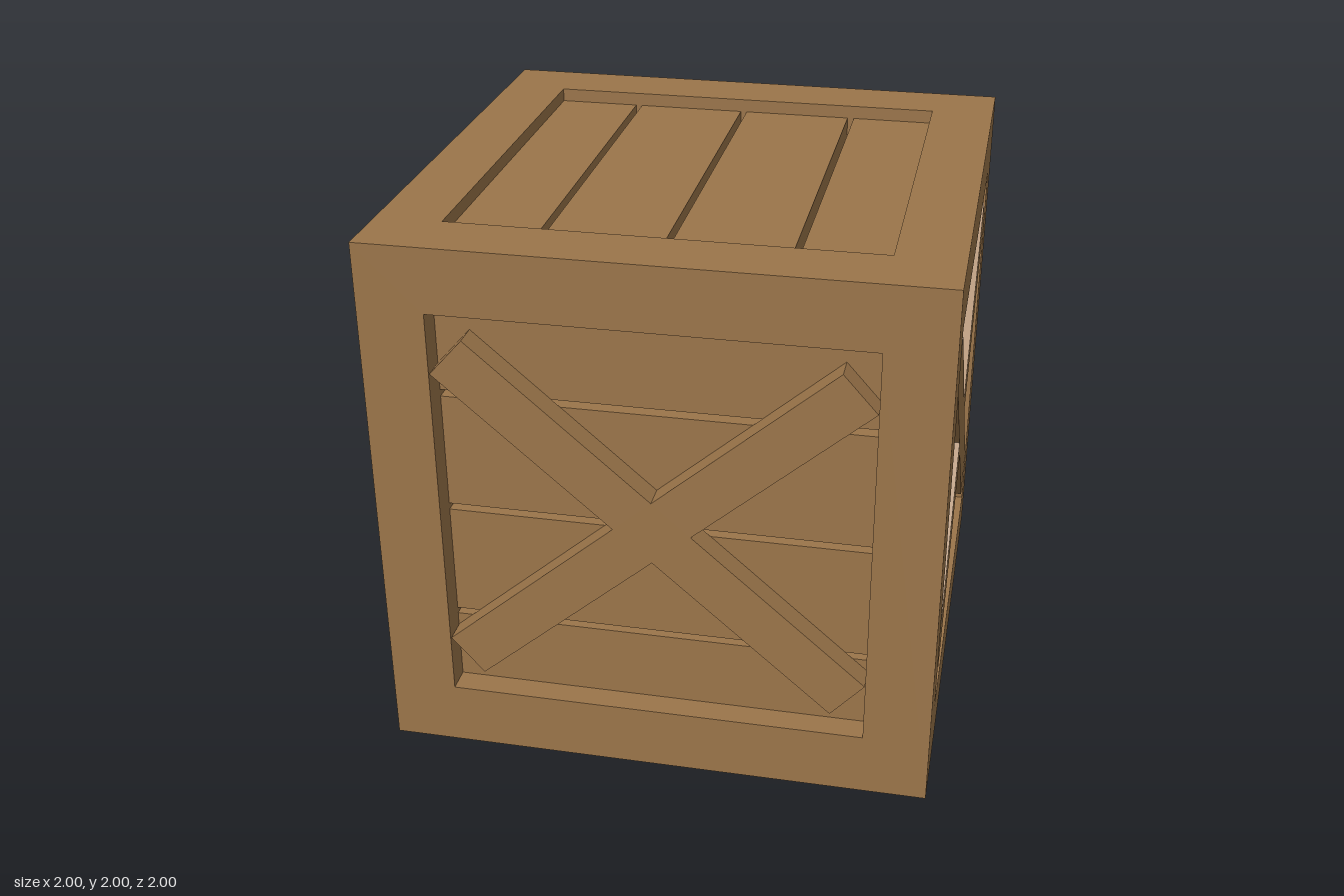
import * as THREE from 'three';
import { mergeGeometries } from 'three/addons/utils/BufferGeometryUtils.js';

const INNER = 0.762; // half width of each framed opening
const BOARD = 0.1; // board thickness

// Square ring face plus the four walls lining its opening, facing +z
function framedFace() {
  const ring = new THREE.Shape([[-1, -1], [1, -1], [1, 1], [-1, 1]].map(p => new THREE.Vector2(...p)));
  ring.holes.push(new THREE.Path([[-1, -1], [-1, 1], [1, 1], [1, -1]]
    .map(([x, y]) => new THREE.Vector2(x * INNER, y * INNER))));
  const parts = [new THREE.ShapeGeometry(ring).translate(0, 0, 1)];
  for (let i = 0; i < 4; i++) {
    parts.push(new THREE.PlaneGeometry(2 * INNER, 1 - INNER)
      .rotateX(-Math.PI / 2)
      .translate(0, -INNER, (1 + INNER) / 2)
      .rotateZ(i * Math.PI / 2));
  }
  return mergeGeometries(parts);
}

// X-shaped brace with square-cut ends, flush with the frame
function braceGeometry(depth) {
  const right = [[0, 0.12], [0.64, 0.675], [0.76, 0.54], [0.138, 0], [0.76, -0.54], [0.64, -0.675]];
  const left = right.map(([x, y]) => [-x, -y]);
  const shape = new THREE.Shape([...right, ...left].map(p => new THREE.Vector2(...p)));
  return new THREE.ExtrudeGeometry(shape, { depth, bevelEnabled: false })
    .translate(0, 0, 0.998 - depth);
}

// Row of boards filling an opening, facing +z, with narrow gaps between them
function boardRow(spans, recess, upright, material) {
  const row = new THREE.Group();
  for (const [from, to] of spans) {
    const size = to - from, mid = (from + to) / 2;
    const geometry = upright
      ? new THREE.BoxGeometry(size, 2 * INNER, BOARD)
      : new THREE.BoxGeometry(2 * INNER, size, BOARD);
    const board = new THREE.Mesh(geometry, material);
    board.name = 'board';
    board.position.set(upright ? mid : 0, upright ? 0 : mid, 1 - recess - BOARD / 2);
    row.add(board);
  }
  return row;
}

export function createModel() {
  const wood = new THREE.MeshStandardMaterial({ color: 0x9b754a });
  wood.name = 'wood';
  const crate = new THREE.Group();
  crate.name = 'crate';
  const body = new THREE.Group();
  body.name = 'body';
  body.position.y = 1;
  crate.add(body);

  // Frame of twelve square beams, as one clean skin
  const faces = [0, 1, 2, 3].map(i => framedFace().rotateY(i * Math.PI / 2));
  faces.push(framedFace().rotateX(-Math.PI / 2), framedFace().rotateX(Math.PI / 2));
  const frame = new THREE.Mesh(mergeGeometries(faces), wood);
  frame.name = 'frame';
  body.add(frame);

  // Four sides: horizontal boards behind a cross brace
  const sideSpans = [[-INNER, -0.492], [-0.468, -0.045], [-0.02, 0.41], [0.436, INNER]];
  const sideRecess = 0.095;
  ['front', 'left', 'back', 'right'].forEach((name, i) => {
    const side = boardRow(sideSpans, sideRecess, false, wood);
    side.name = name + 'Side';
    const brace = new THREE.Mesh(braceGeometry(sideRecess - 0.002), wood);
    brace.name = 'crossBrace';
    side.add(brace);
    side.rotation.y = i * Math.PI / 2;
    body.add(side);
  });

  // Lid and base: boards running front to back
  const lidSpans = [[-INNER, -0.453], [-0.428, -0.014], [0.01, 0.424], [0.449, INNER]];
  for (const [name, angle] of [['lid', -Math.PI / 2], ['base', Math.PI / 2]]) {
    const panel = boardRow(lidSpans, 0.05, true, wood);
    panel.name = name;
    panel.rotation.x = angle;
    body.add(panel);
  }
  return crate;
}
